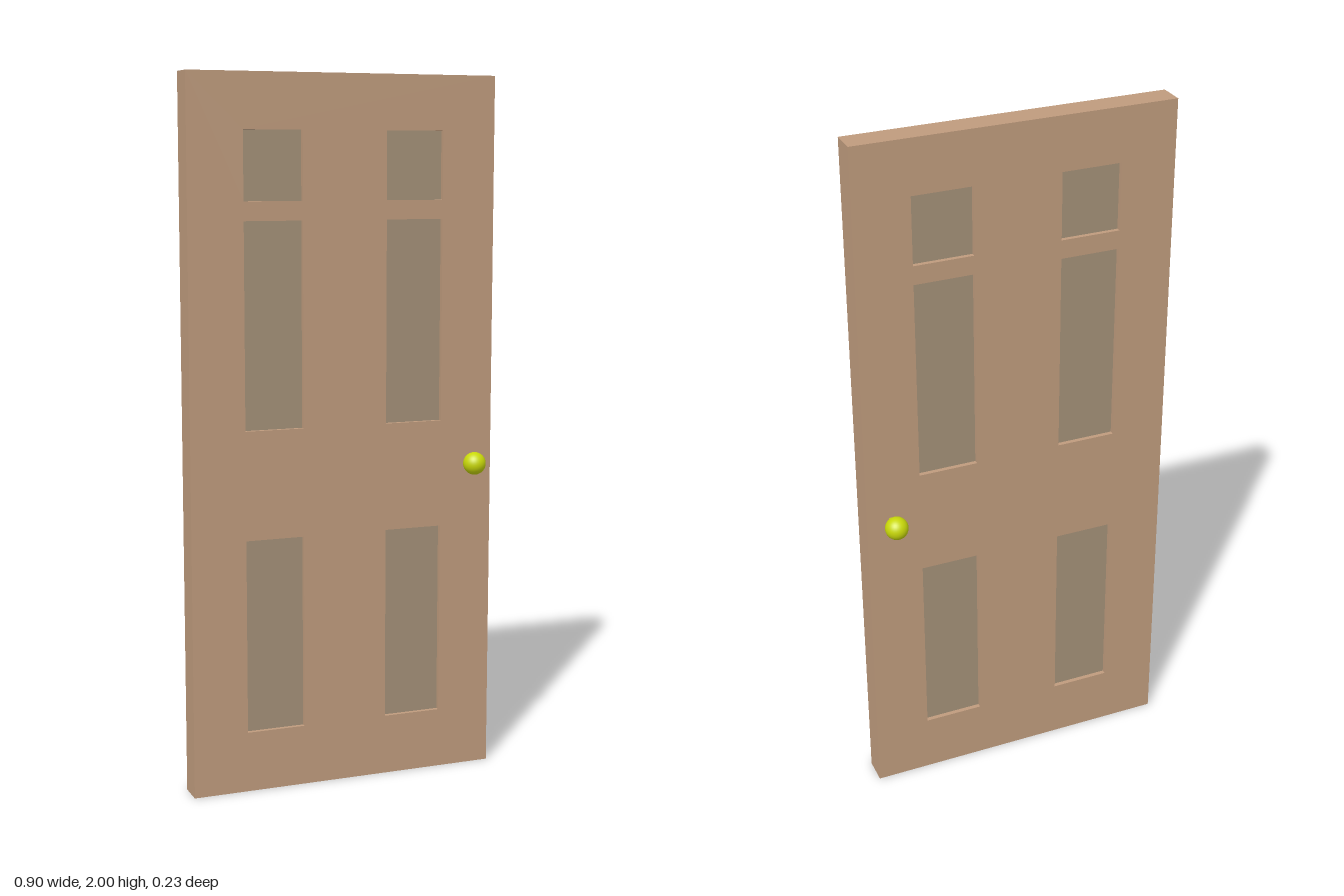
import * as THREE from 'three';

const HALF_W = 0.452, HEIGHT = 2, HALF_T = 0.038, RECESS = 0.013;
const PANEL_X = [0.124, 0.294];
const PANEL_ROWS = [[0.172, 0.723], [1.03, 1.603], [1.656, 1.847]];
const KNOB = { x: 0.381, y: 0.907, z: 0.082, r: 0.0325 };

const material = (color) => new THREE.MeshStandardMaterial({ color });

function rectangle(path, x0, y0, x1, y1) {
  path.moveTo(x0, y0);
  path.lineTo(x1, y0);
  path.lineTo(x1, y1);
  path.lineTo(x0, y1);
  path.closePath();
  return path;
}

function addMesh(parent, name, geometry, mat, x = 0, y = 0, z = 0) {
  const mesh = new THREE.Mesh(geometry, mat);
  mesh.name = name;
  mesh.position.set(x, y, z);
  parent.add(mesh);
  return mesh;
}

export function createModel() {
  const model = new THREE.Group();
  model.name = 'panelDoor';
  const wood = material(0xbf9b7d);
  const panelWood = material(0xa39078);
  const brass = material(0xc8d80a);

  // Door frame with six openings, filled by thinner panels
  const outline = rectangle(new THREE.Shape(), -HALF_W, 0, HALF_W, HEIGHT);
  const panels = new THREE.Group();
  panels.name = 'panels';
  for (const side of [-1, 1]) {
    const [x0, x1] = PANEL_X.map((x) => x * side).sort((a, b) => a - b);
    for (const [y0, y1] of PANEL_ROWS) {
      outline.holes.push(rectangle(new THREE.Path(), x0, y0, x1, y1));
      const panel = new THREE.BoxGeometry(x1 - x0, y1 - y0, 2 * (HALF_T - RECESS));
      addMesh(panels, 'recessedPanel', panel, panelWood, (x0 + x1) / 2, (y0 + y1) / 2);
    }
  }
  const frame = new THREE.ExtrudeGeometry(outline, { depth: 2 * HALF_T, bevelEnabled: false });
  addMesh(model, 'doorFrame', frame, wood, 0, 0, -HALF_T);
  model.add(panels);

  // A round knob on a short stem, on both faces
  for (const side of [1, -1]) {
    const handle = new THREE.Group();
    handle.name = side > 0 ? 'frontHandle' : 'backHandle';
    handle.position.set(KNOB.x, KNOB.y, 0);
    addMesh(handle, 'knob', new THREE.SphereGeometry(KNOB.r, 32, 20), brass, 0, 0, side * KNOB.z);
    const length = KNOB.z - HALF_T + 0.01;
    const stem = new THREE.CylinderGeometry(0.009, 0.009, length, 20).rotateX(Math.PI / 2);
    addMesh(handle, 'stem', stem, brass, 0, 0, side * (KNOB.z - length / 2));
    model.add(handle);
  }
  return model;
}
